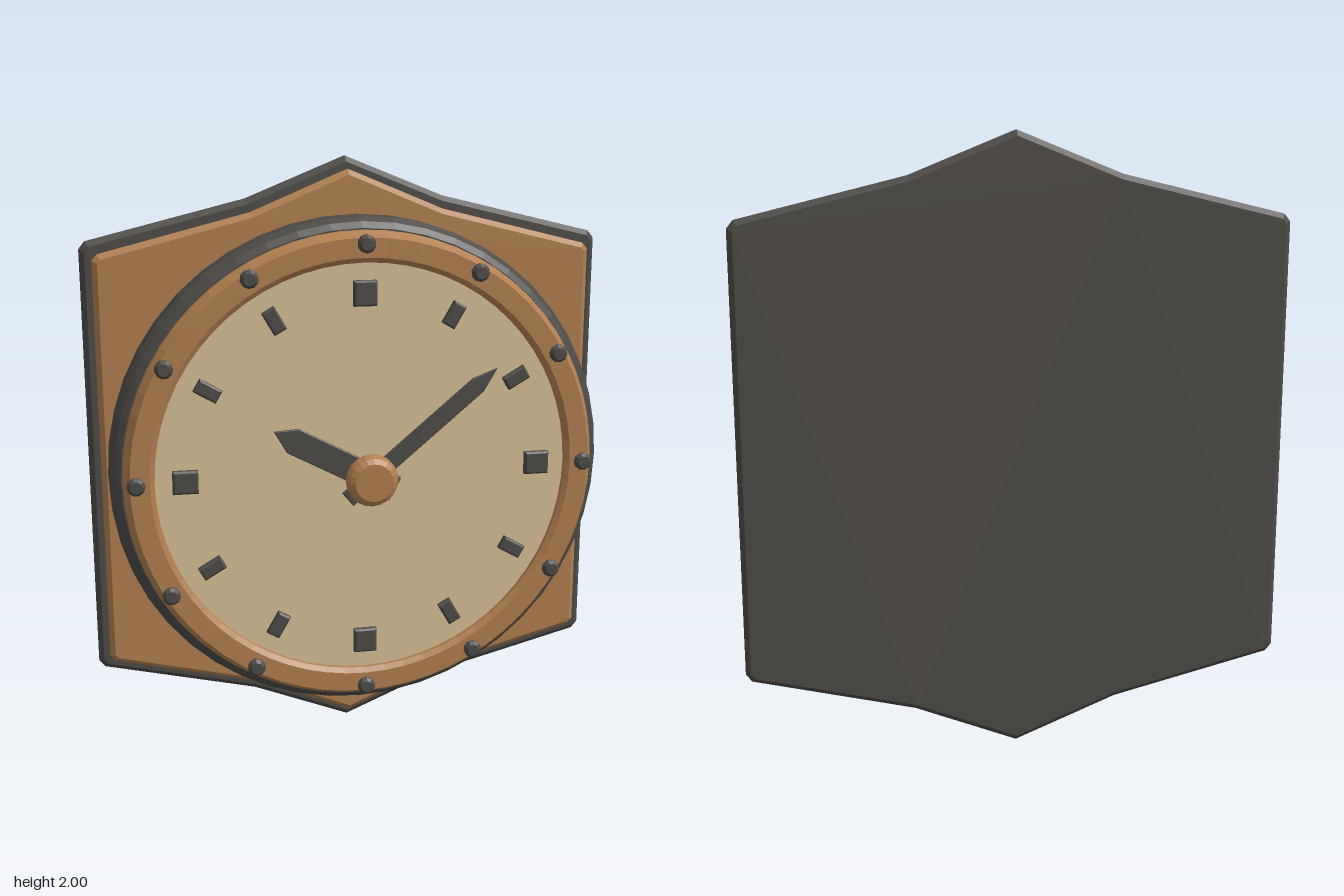
import * as THREE from 'three';

const flat = (name, color) => {
  const m = new THREE.MeshStandardMaterial({ color, flatShading: true });
  m.name = name;
  return m;
};

export function createModel() {
  const dark = flat('dark iron', 0x4e4b47);
  const copper = flat('copper', 0xb28050);
  const cream = flat('cream dial', 0xd8c094);

  const root = new THREE.Group();
  root.name = 'wallClock';
  const clock = new THREE.Group();
  clock.name = 'clock';
  clock.position.y = 1;
  root.add(clock);

  const add = (name, geometry, material) => {
    const mesh = new THREE.Mesh(geometry, material);
    mesh.name = name;
    clock.add(mesh);
    return mesh;
  };

  // Closed outline extruded from z0 to z1 with chamfered rims kept inside it
  const slab = (points, z0, z1, bevel) => {
    const shape = new THREE.Shape(points.map(([x, y]) => new THREE.Vector2(x, y)));
    const g = new THREE.ExtrudeGeometry(shape, {
      depth: z1 - z0 - 2 * bevel,
      bevelEnabled: bevel > 0,
      bevelThickness: bevel,
      bevelSize: bevel,
      bevelOffset: -bevel,
      bevelSegments: 1,
    });
    return g.translate(0, 0, z0 + bevel);
  };

  // Turned part: [radius, z] profile spun about the z axis
  const turned = (profile, sides) =>
    new THREE.LatheGeometry(profile.map(([r, z]) => new THREE.Vector2(r, z)), sides).rotateX(Math.PI / 2);

  // Back plates: one quarter outline mirrored to all four quadrants
  const plateOutline = (apex, notch, cornerTop, cornerSide) => {
    const quarter = [cornerSide, cornerTop, notch];
    const rightTop = quarter;
    const leftTop = [...quarter].reverse().map(([x, y]) => [-x, y]);
    const top = [...rightTop, [0, apex], ...leftTop];
    return [...top, ...top.map(([x, y]) => [-x, -y])];
  };
  add('backPlate', slab(plateOutline(1, [0.335, 0.865], [0.86, 0.737], [0.88, 0.712]), -0.24, -0.188, 0.017), dark);
  add('frontPlate', slab(plateOutline(0.96, [0.325, 0.825], [0.825, 0.7], [0.842, 0.68]), -0.188, -0.142, 0.017), copper);

  // Round case
  add('drum', turned([
    [0.76, -0.15], [0.795, -0.142], [0.815, -0.1], [0.825, -0.04],
    [0.825, 0.03], [0.81, 0.055], [0.79, 0.07], [0.75, 0.07],
  ], 48), dark);

  // Bezel ring and dial
  add('bezel', turned([
    [0.77, 0.06], [0.785, 0.07], [0.785, 0.09], [0.765, 0.122],
    [0.702, 0.122], [0.686, 0.11], [0.686, 0.08],
  ], 64), copper);
  add('dial', turned([[0.69, 0.08], [0.69, 0.095], [0, 0.095]], 64), cream);

  // Rivets and hour markers
  const rivet = turned([[0.03, 0.118], [0.03, 0.131], [0.02, 0.143], [0, 0.143]], 10);
  const marker = (w, h) => slab([[-w, -h], [w, -h], [w, h], [-w, h]], 0.09, 0.117, 0.006);
  const quarterMarker = marker(0.038, 0.041);
  const hourMarker = marker(0.023, 0.041);
  for (let i = 0; i < 12; i++) {
    const a = (i * Math.PI) / 6;
    const place = (mesh, r) => {
      mesh.position.set(r * Math.sin(a), r * Math.cos(a), 0);
      mesh.rotation.z = -a;
    };
    place(add('rivet', rivet, dark), 0.746);
    place(add('hourMarker', i % 3 === 0 ? quarterMarker : hourMarker, dark), 0.588);
  }

  // Pointed hands, drawn along +x and turned into position
  const hand = (name, tip, shoulder, w, z0, z1, degrees) => {
    const outline = [[-0.1, -w], [shoulder, -w], [tip, 0], [shoulder, w], [-0.1, w]];
    add(name, slab(outline, z0, z1, 0.003), dark).rotation.z = THREE.MathUtils.degToRad(degrees);
  };
  hand('hourHand', 0.35, 0.28, 0.043, 0.15, 0.164, 152);
  hand('minuteHand', 0.54, 0.46, 0.028, 0.185, 0.199, 39.8);

  // Centre knob
  add('knob', turned([
    [0, 0.19], [0.075, 0.19], [0.085, 0.198], [0.085, 0.215], [0.078, 0.232], [0.062, 0.243], [0, 0.243],
  ], 20), copper);

  return root;
}
